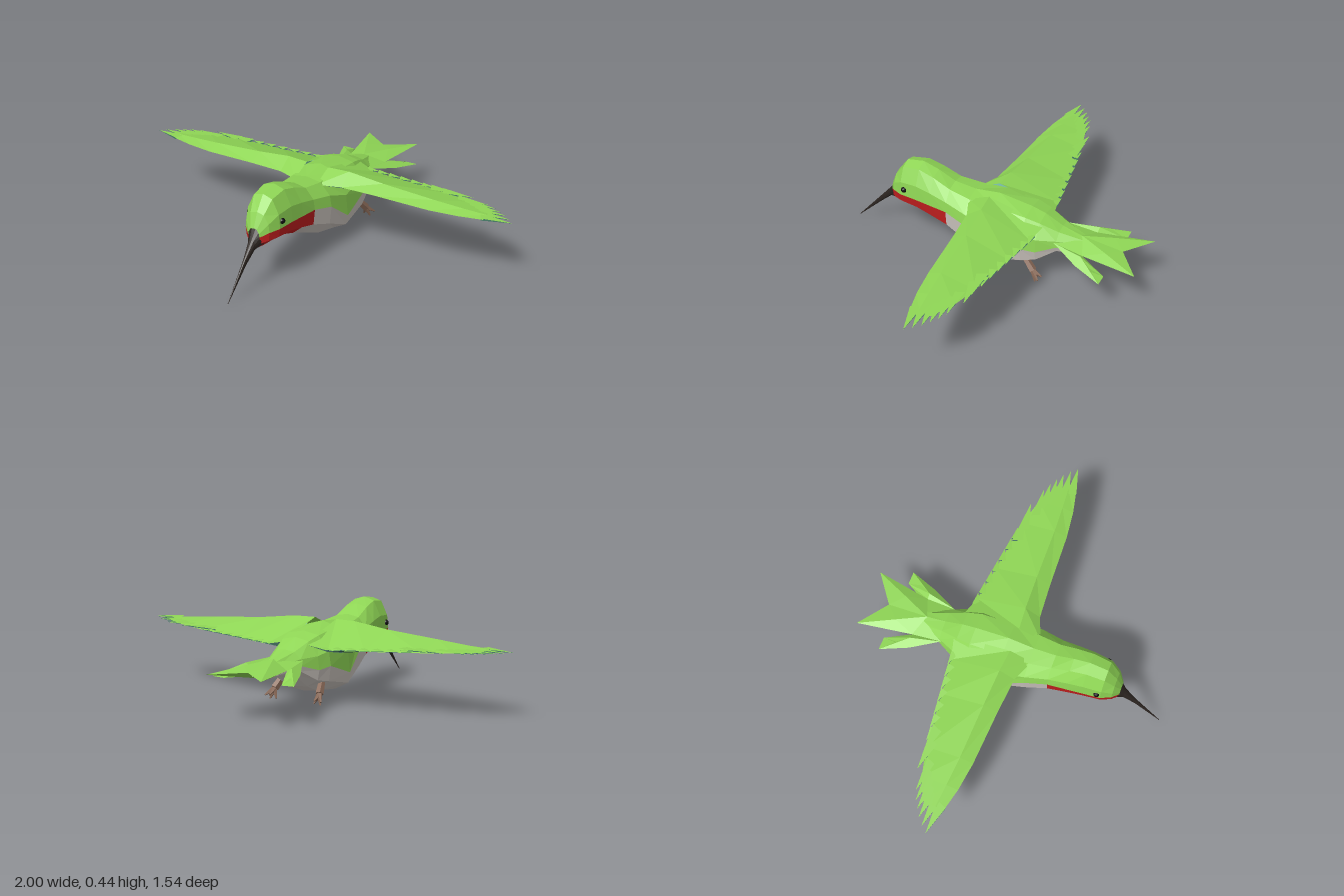
import * as THREE from 'three';

const GREEN = 0x8fd655, RED = 0xc41f1f, BELLY = 0xcdc6c0, DARK = 0x40705f,
  TEAL = 0x78bba6, BEAK = 0x2b2420, FOOT = 0x8a6a58, BLACK = 0x0c0c0c;

// Collects triangles of one part, each with its mirror image
class Patch {
  constructor(name, color) { this.name = name; this.color = color; this.p = []; }
  tri(a, b, c) {
    const m = ([x, y, z]) => [-x, y, z];
    this.p.push(...a, ...b, ...c, ...m(a), ...m(c), ...m(b));
  }
  quad(a, b, c, d) { this.tri(a, b, c); this.tri(a, c, d); }
  mesh() {
    const g = new THREE.BufferGeometry();
    g.setAttribute('position', new THREE.Float32BufferAttribute(this.p, 3));
    g.computeVertexNormals();
    return named(new THREE.Mesh(g, material(this.color, true)), this.name);
  }
}

function material(color, thin = false) {
  return new THREE.MeshStandardMaterial({
    color, flatShading: true, roughness: 0.9,
    side: thin ? THREE.DoubleSide : THREE.FrontSide,
  });
}

function named(object, name) { object.name = name; return object; }

// Half cross-section from the top centre to the bottom centre
function section([z, top, mid, bot, w]) {
  const up = top - mid, down = mid - bot;
  return [
    [0, top, z], [w * 0.55, top - up * 0.1, z], [w * 0.93, mid + up * 0.45, z],
    [w, mid, z], [w * 0.93, mid - down * 0.55, z], [w * 0.48, bot + down * 0.06, z], [0, bot, z],
  ];
}

function loft(rows, pick) {
  const s = rows.map(section);
  for (let i = 0; i < s.length - 1; i++)
    for (let j = 0; j < 6; j++)
      pick(i, j).quad(s[i][j], s[i][j + 1], s[i + 1][j + 1], s[i + 1][j]);
}

function buildBody(group) {
  const back = new Patch('back', GREEN), throat = new Patch('throat', RED),
    belly = new Patch('belly', BELLY), beak = new Patch('beak', BEAK);
  // z, top, colour line, bottom, half width
  loft([
    [0.55, 0.29, 0.25, 0.19, 0.03], [0.52, 0.36, 0.27, 0.195, 0.065],
    [0.47, 0.43, 0.275, 0.2, 0.09], [0.38, 0.445, 0.275, 0.19, 0.1],
    [0.3, 0.42, 0.27, 0.16, 0.107], [0.21, 0.378, 0.265, 0.12, 0.115],
    [0.1, 0.365, 0.24, 0.07, 0.14], [-0.03, 0.38, 0.14, 0.045, 0.155],
    [-0.2, 0.355, 0.2, 0.065, 0.15], [-0.27, 0.335, 0.19, 0.1, 0.13],
    [-0.36, 0.29, 0.22, 0.175, 0.09], [-0.47, 0.258, 0.215, 0.176, 0.04],
    [-0.5, 0.24, 0.21, 0.178, 0.005],
  ], (i, j) => j < 3 ? back : i < (j === 3 ? 5 : 4) ? throat : belly);
  // Beak, from the tip back into the face
  loft([
    [0.77, 0.004, 0.002, 0, 0.001], [0.63, 0.168, 0.15, 0.133, 0.009],
    [0.57, 0.238, 0.21, 0.187, 0.02], [0.52, 0.3, 0.25, 0.195, 0.05],
  ], () => beak);
  group.add(...[back, throat, belly, beak].map((p) => p.mesh()));
}

function buildWings(group) {
  const top = new Patch('wingTops', GREEN), under = new Patch('wingUndersides', DARK),
    covert = new Patch('underwingCoverts', TEAL);
  // x, then z and y of the leading edge, ridge, trailing edge and underside
  const stations = [
    [0.06, 0.11, 0.34, 0, 0.387, -0.29, 0.31, -0.1, 0.23],
    [0.17, 0.065, 0.335, -0.01, 0.387, -0.262, 0.285, -0.1, 0.25],
    [0.35, 0.05, 0.33, -0.02, 0.365, -0.236, 0.293, -0.09, 0.282],
    [0.62, 0.035, 0.321, -0.03, 0.345, -0.2, 0.308, -0.08, 0.304],
    [0.76, 0.017, 0.321, -0.04, 0.335, -0.165, 0.316, -0.07, 0.312],
    [0.87, -0.008, 0.322, -0.05, 0.328, -0.11, 0.319, -0.06, 0.317],
  ].map(([x, ...v]) => [0, 2, 4, 6].map((k) => [x, v[k + 1], v[k]]));
  for (let i = 0; i < stations.length - 1; i++) {
    const [l0, r0, t0, u0] = stations[i], [l1, r1, t1, u1] = stations[i + 1];
    top.quad(l0, l1, r1, r0);
    top.quad(r0, r1, t1, t0);
    (i < 2 ? covert : under).quad(l0, u0, u1, l1);
    (i < 1 ? covert : under).quad(u0, t0, t1, u1);
  }
  // Feather blades: a green face over a dark one
  const feather = (x, z, y, length, width) => {
    const blade = (h) => [[x, y, z], [x - length, y + h, z + width], [x - length * 1.15, y + h, z - width * 0.2]];
    const [a, b, c] = blade(0.006), [d, e, f] = blade(-0.004);
    top.tri(a, c, b);
    under.tri(d, e, f);
  };
  const tips = [[1, -0.045], [0.975, -0.075], [0.945, -0.103], [0.91, -0.125],
    [0.875, -0.147], [0.83, -0.165], [0.735, -0.198], [0.67, -0.203]];
  tips.forEach(([x, z], i) => feather(x, z, 0.322 - i * 0.001, 0.14, 0.042));
  for (let i = 0; i < 7; i++) feather(0.2 + i * 0.065, -0.268 + i * 0.009, 0.29 + i * 0.003, 0.06, 0.03);
  group.add(top.mesh(), under.mesh(), covert.mesh());
}

function buildTail(group) {
  const tail = new Patch('tailFeathers', GREEN), keel = new Patch('undertail', BELLY);
  const root = [0.09, 0.245, -0.35], spine = [0, 0.262, -0.46], fork = [0, 0.235, -0.665],
    tip = [0.145, 0.23, -0.775], notch = [0.1, 0.225, -0.5], low = [0, 0.176, -0.5],
    mid = [0.065, 0.25, -0.6];
  // Forked centre fan
  tail.tri(spine, mid, fork);
  tail.tri(fork, mid, tip);
  tail.tri(spine, notch, mid);
  tail.tri(notch, tip, mid);
  tail.tri(spine, root, notch);
  tail.tri(low, fork, tip);
  tail.tri(low, tip, notch);
  keel.tri(low, notch, root);
  keel.tri(low, root, [0, 0.18, -0.36]);
  keel.tri(low, [0.04, 0.205, -0.6], [0, 0.2, -0.6]);
  // Outer feathers, lower than the fan
  const s = [0.165, 0.21, -0.49], a = [0.22, 0.19, -0.63], b = [0.155, 0.188, -0.63], c = [0.09, 0.182, -0.51];
  const crest = [0.125, 0.24, -0.5];
  tail.quad(root, s, crest, notch);
  tail.tri(s, a, crest);
  tail.tri(crest, a, [0.16, 0.215, -0.56]);
  tail.quad(crest, [0.16, 0.215, -0.56], b, notch);
  tail.quad(s, c, b, a);
  tail.tri(root, c, s);
  tail.tri(notch, b, c);
  group.add(tail.mesh(), keel.mesh());
}

// Tapered rod between two points
function rod(from, to, r0, r1) {
  const a = new THREE.Vector3(...from), d = new THREE.Vector3(...to).sub(a);
  const mesh = new THREE.Mesh(new THREE.CylinderGeometry(r1, r0, d.length(), 5), material(FOOT));
  mesh.position.copy(a).addScaledVector(d, 0.5);
  mesh.quaternion.setFromUnitVectors(new THREE.Vector3(0, 1, 0), d.normalize());
  return mesh;
}

function buildFeetAndEyes(group) {
  for (const [side, s] of [['left', 1], ['right', -1]]) {
    const foot = named(new THREE.Group(), side + 'Foot');
    const ankle = [s * 0.125, 0.075, -0.262];
    foot.add(named(rod([s * 0.11, 0.125, -0.215], ankle, 0.016, 0.02), 'leg'));
    for (const [x, y, z] of [[0.155, 0.045, -0.3], [0.125, 0.05, -0.308], [0.105, 0.03, -0.28], [0.14, 0.025, -0.28]])
      foot.add(named(rod(ankle, [s * x, y, z], 0.014, 0.004), 'toe'));
    const eye = named(new THREE.Mesh(new THREE.IcosahedronGeometry(0.015, 1), material(BLACK)), side + 'Eye');
    eye.position.set(s * 0.088, 0.308, 0.45);
    group.add(foot, eye);
  }
}

export function createModel() {
  const bird = named(new THREE.Group(), 'bird');
  buildBody(bird);
  buildWings(bird);
  buildTail(bird);
  buildFeetAndEyes(bird);
  return bird;
}
